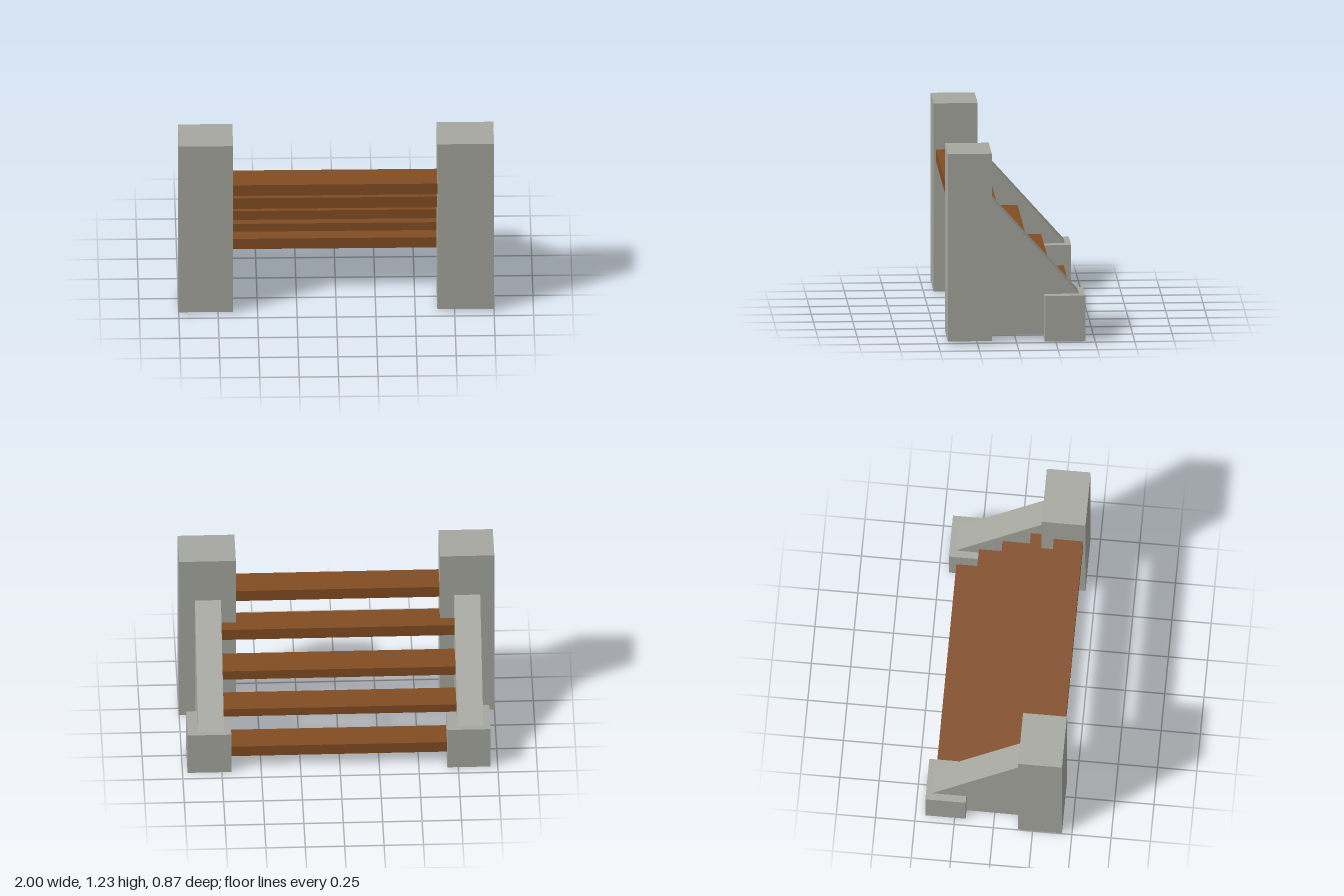
import * as THREE from 'three';

const stone = new THREE.MeshStandardMaterial({ name: 'grey stone', color: 0xa6a79f });
const wood = new THREE.MeshStandardMaterial({ name: 'brown wood', color: 0x824d23 });

// Box given by its extents on each axis
function block(name, material, [x0, x1], [y0, y1], [z0, z1]) {
  const mesh = new THREE.Mesh(new THREE.BoxGeometry(x1 - x0, y1 - y0, z1 - z0), material);
  mesh.position.set((x0 + x1) / 2, (y0 + y1) / 2, (z0 + z1) / 2);
  mesh.name = name;
  return mesh;
}

// Sloping side wall: a (-z, y) profile extruded along x
function sideWall(name, x0, x1) {
  const profile = [[-0.18, 0.03], [0.18, 0.036], [0.4, 0.04], [0.4, 0.295], [-0.16, 0.92], [-0.18, 0.92]];
  const shape = new THREE.Shape(profile.map(([z, y]) => new THREE.Vector2(z, y)));
  const geometry = new THREE.ExtrudeGeometry(shape, { depth: x1 - x0, bevelEnabled: false });
  geometry.rotateY(Math.PI / 2);
  const mesh = new THREE.Mesh(geometry, stone);
  mesh.position.x = x0;
  mesh.name = name;
  return mesh;
}

export function createModel() {
  const model = new THREE.Group();
  model.name = 'staircase';

  // Tall front pillars
  model.add(block('rightPillar', stone, [-1, -0.655], [0.008, 1.225], [0.158, 0.437]));
  model.add(block('leftPillar', stone, [0.64, 1], [0.014, 1.225], [0.158, 0.437]));

  // Low blocks at the foot of the stairs
  model.add(block('rightFootBlock', stone, [-0.955, -0.68], [0, 0.295], [-0.437, -0.18]));
  model.add(block('leftFootBlock', stone, [0.69, 0.968], [0, 0.295], [-0.437, -0.18]));

  // Sloping walls that carry the treads
  model.add(sideWall('rightWall', -0.91, -0.745));
  model.add(sideWall('leftWall', 0.735, 0.9));

  // Treads, lowest to highest: bottom, top, back, front
  const treads = [
    [0.09, 0.165, -0.39, -0.21],
    [0.3, 0.357, -0.25, -0.07],
    [0.48, 0.545, -0.1, 0.09],
    [0.66, 0.738, 0.08, 0.26],
    [0.85, 0.928, 0.235, 0.422],
  ];
  treads.forEach(([y0, y1, z0, z1], i) => {
    model.add(block(`tread${i + 1}`, wood, [-0.78, 0.77], [y0, y1], [z0, z1]));
  });

  return model;
}
